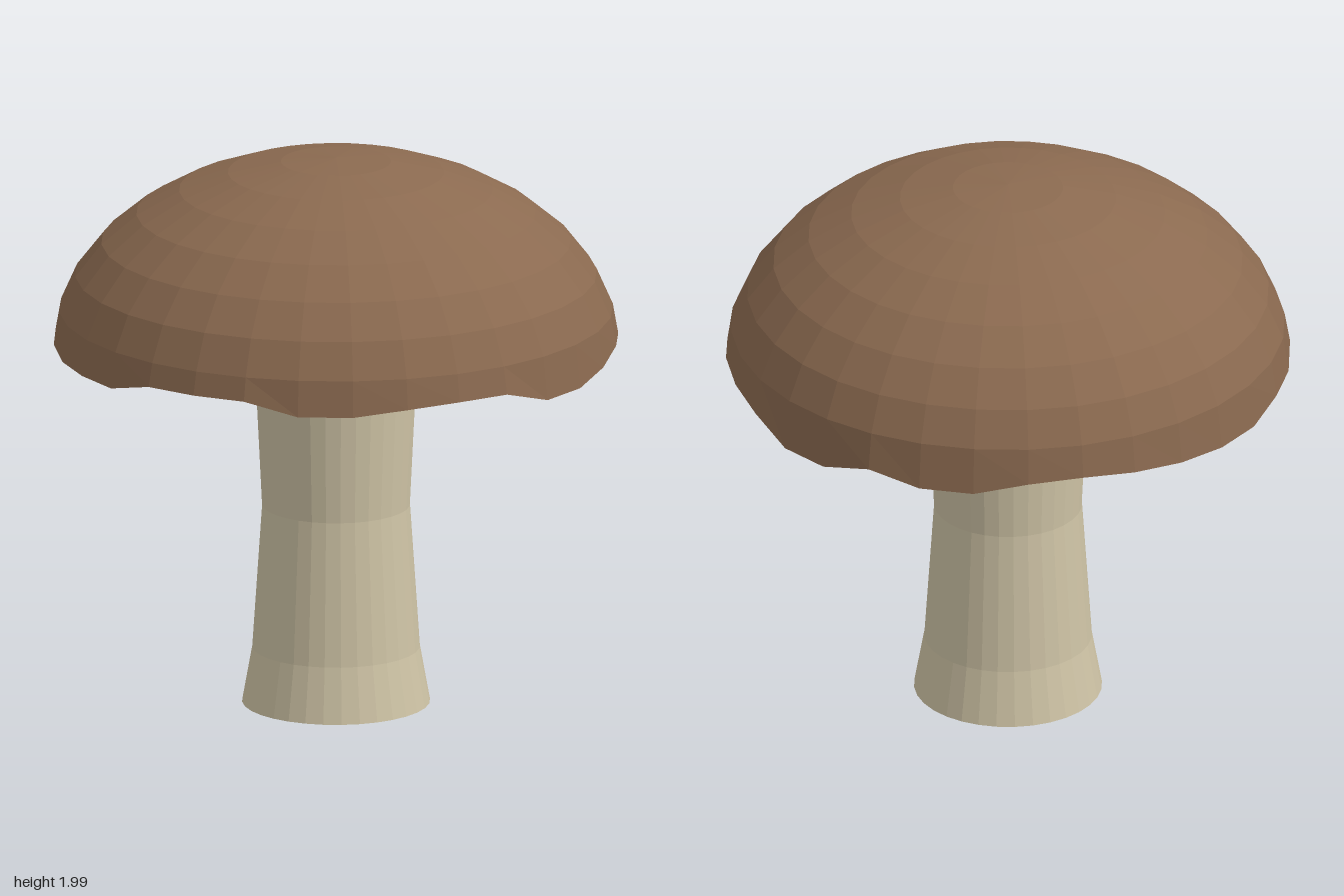
import * as THREE from 'three';

const SIDES = 32;

// Rim heights around the cap, from +x through +z, -x and -z
const RIM = [
  1.305, 1.257, 1.257, 1.31, 1.33, 1.337, 1.31, 1.283,
  1.283, 1.34, 1.34, 1.33, 1.31, 1.31, 1.355, 1.355,
  1.355, 1.31, 1.31, 1.31, 1.32, 1.33, 1.31, 1.31,
  1.28, 1.28, 1.29, 1.305, 1.32, 1.31, 1.27, 1.27,
];

// Faceted solid of revolution; vertices on the rim (radius 1) follow RIM
function lathe(name, profile, color) {
  const points = profile.map(([r, y]) => new THREE.Vector2(r, y));
  const geometry = new THREE.LatheGeometry(points, SIDES).toNonIndexed();
  const pos = geometry.attributes.position;
  for (let i = 0; i < pos.count; i++) {
    const x = pos.getX(i), z = pos.getZ(i);
    if (Math.hypot(x, z) < 0.995) continue;
    const step = Math.round((Math.atan2(z, x) / (2 * Math.PI)) * SIDES);
    pos.setY(i, RIM[(step + SIDES) % SIDES]);
  }
  geometry.computeVertexNormals();
  const mesh = new THREE.Mesh(
    geometry,
    new THREE.MeshStandardMaterial({ color, flatShading: true })
  );
  mesh.name = name;
  return mesh;
}

export function createModel() {
  const group = new THREE.Group();
  group.name = 'mushroom';

  // Domed cap: a squashed half sphere, from rim to crown
  const dome = [];
  for (let k = 8; k >= 0; k--) {
    const a = (k / 8) * (Math.PI / 2);
    dome.push([Math.sin(a), 1.305 + 0.685 * Math.cos(a)]);
  }
  group.add(lathe('cap', dome, 0x8b6a50));

  // Shallow hollow underside, fanning out to the wavy rim
  group.add(lathe('capUnderside', [[0, 1.37], [1, 1.3]], 0xcfc4a6));

  // Waisted stem with a closed base
  group.add(lathe('stem', [
    [0, 0], [0.333, 0], [0.297, 0.2], [0.262, 0.72], [0.283, 1.15], [0.315, 1.38],
  ], 0xcfc4a6));

  return group;
}
